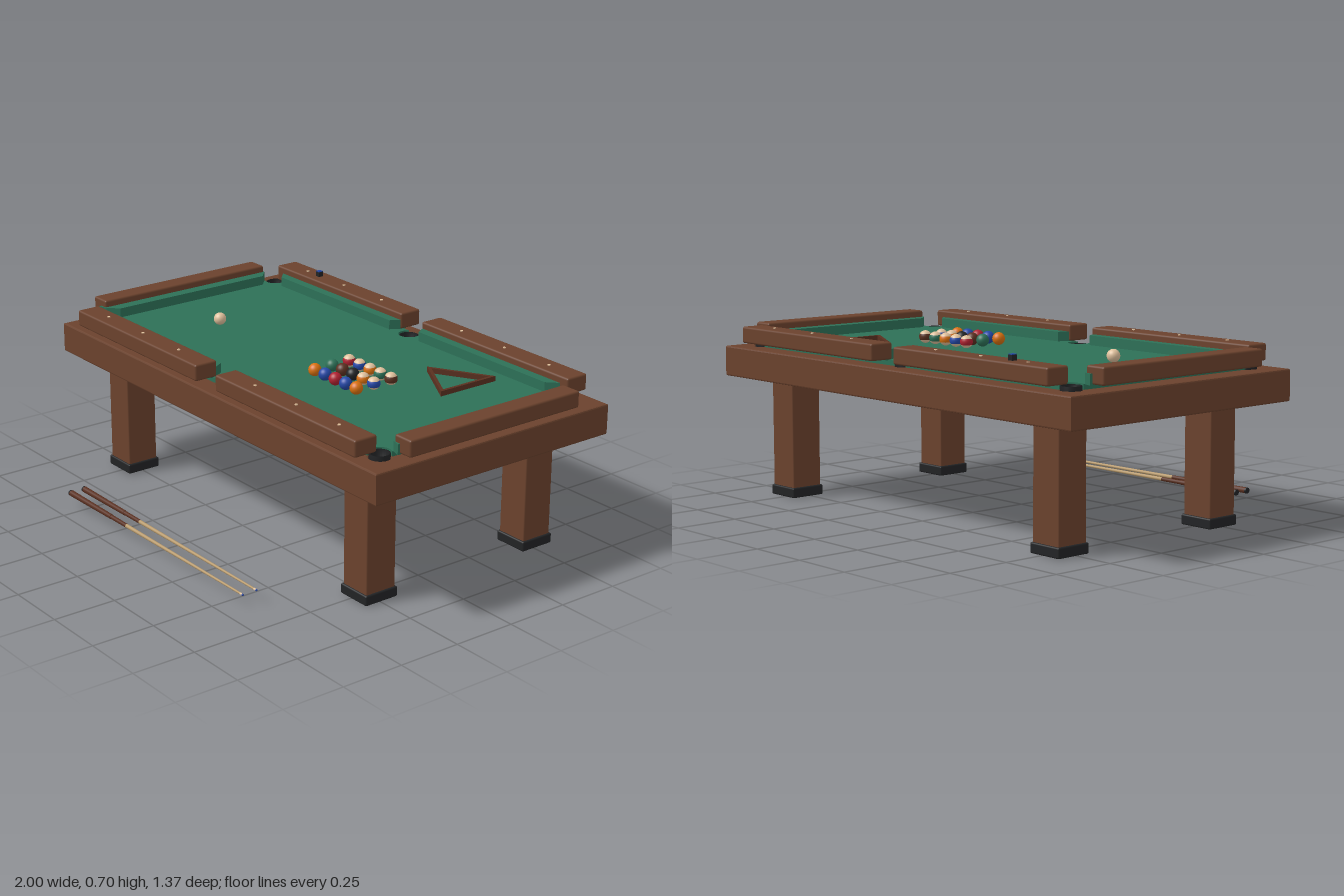
import * as THREE from 'three';
import { RoundedBoxGeometry } from 'three/addons/geometries/RoundedBoxGeometry.js';

const mat = (name, color) => {
  const m = new THREE.MeshStandardMaterial({ color });
  m.name = name;
  return m;
};

export function createModel() {
  const wood = mat('wood', 0x6b422d);
  const darkWood = mat('dark wood', 0x5a3020);
  const felt = mat('felt green', 0x2d7057);
  const black = mat('black', 0x222325);
  const cream = mat('cream', 0xdfc09c);
  const maple = mat('maple', 0xb89a6c);
  const orange = mat('orange', 0xd8700f);
  const blue = mat('blue', 0x2448a8);
  const red = mat('red', 0xb02030);

  const model = new THREE.Group();
  model.name = 'poolTable';
  const table = new THREE.Group();
  table.name = 'table';
  table.position.z = -0.135;
  model.add(table);

  const add = (parent, name, geo, material, x = 0, y = 0, z = 0) => {
    const mesh = new THREE.Mesh(geo, material);
    mesh.name = name;
    mesh.position.set(x, y, z);
    parent.add(mesh);
    return mesh;
  };
  const box = (name, w, h, d, material, x, y, z, r = 0.008) =>
    add(table, name, new RoundedBoxGeometry(w, h, d, 2, r), material, x, y, z);

  // Extrude a plan outline of [x, z] points upwards
  const outline = (pts) => new THREE.Shape(pts.map(([x, z]) => new THREE.Vector2(x, -z)));
  const slab = (shape, height, bevel = 0) => {
    const geo = new THREE.ExtrudeGeometry(shape, {
      depth: height - 2 * bevel, bevelEnabled: bevel > 0, bevelSize: bevel,
      bevelThickness: bevel, bevelOffset: -bevel, bevelSegments: 2, curveSegments: 24,
    });
    return geo.rotateX(-Math.PI / 2).translate(0, bevel, 0);
  };
  const rect = (hx, hz) => outline([[-hx, hz], [hx, hz], [hx, -hz], [-hx, -hz]]);

  // Body with six pocket holes
  const pockets = [];
  for (const x of [-0.885, 0, 0.885]) for (const z of [-0.44, 0.44]) pockets.push([x, z]);
  const bodyShape = rect(1, 0.55);
  for (const [x, z] of pockets) {
    bodyShape.holes.push(new THREE.Path().absarc(x, -z, 0.039, 0, Math.PI * 2, true));
  }
  add(table, 'body', slab(bodyShape, 0.12, 0.006), wood, 0, 0.47, 0);

  // Playing surface, notched around each pocket
  const hx = 0.91, hz = 0.467, r = 0.042;
  const bed = new THREE.Shape();
  const a = Math.asin((hz - 0.44) / r);
  const c = Math.asin((hx - 0.885) / r);
  const P = Math.PI;
  bed.absarc(0, -0.44, r, P + a, -a, true);
  bed.absarc(0.885, -0.44, r, P + a, P / 2 - c, true);
  bed.absarc(0.885, 0.44, r, 1.5 * P + c, P - a, true);
  bed.absarc(0, 0.44, r, a, P - a, true);
  bed.absarc(-0.885, 0.44, r, a, -P / 2 - c, true);
  bed.absarc(-0.885, -0.44, r, P / 2 + c, -a, true);
  add(table, 'playingSurface', slab(bed, 0.02), felt, 0, 0.59, 0);

  // Pocket cups
  const cup = new THREE.LatheGeometry([
    [0, 0], [0.038, 0], [0.038, 0.09], [0.034, 0.09], [0.034, 0.008], [0, 0.008],
  ].map(([x, y]) => new THREE.Vector2(x, y)), 28);
  for (const [x, z] of pockets) add(table, 'pocket', cup, black, x, 0.515, z);

  // Rails, cushions, sights, legs and feet, mirrored
  for (const s of [-1, 1]) {
    box('endRail', 0.085, 0.065, 0.8, wood, s * 0.9575, 0.6425, 0);
    add(table, 'endCushion', slab(outline([
      [s * 0.945, 0.41], [s * 0.91, 0.4], [s * 0.868, 0.36],
      [s * 0.868, -0.36], [s * 0.91, -0.4], [s * 0.945, -0.41],
    ]), 0.04), felt, 0, 0.608, 0);

    for (const t of [-1, 1]) {
      box('longRail', 0.823, 0.065, 0.098, wood, s * 0.4735, 0.6425, t * 0.501);
      add(table, 'longCushion', slab(outline([
        [s * 0.86, t * 0.48], [s * 0.845, t * 0.452], [s * 0.805, t * 0.413],
        [s * 0.09, t * 0.413], [s * 0.068, t * 0.452], [s * 0.066, t * 0.48],
      ]), 0.04), felt, 0, 0.608, 0);
      for (const x of [0.245, 0.49, 0.735]) {
        add(table, 'sight', new THREE.CylinderGeometry(0.006, 0.006, 0.004, 12),
          cream, s * x, 0.676, t * 0.5);
      }
      box('leg', 0.132, 0.45, 0.132, wood, s * 0.765, 0.25, t * 0.38, 0.005);
      box('foot', 0.146, 0.04, 0.146, black, s * 0.765, 0.02, t * 0.38, 0.006);
    }
  }

  // Chalk cube with coloured top
  add(table, 'chalk', new THREE.BoxGeometry(0.022, 0.02, 0.022), black, -0.655, 0.685, -0.5);
  add(table, 'chalkTop', new THREE.BoxGeometry(0.02, 0.003, 0.02), blue, -0.655, 0.6965, -0.5);

  // Triangle rack
  const tri = (k) => [[-0.157, 0], [0.078, 0.135], [0.078, -0.135]].map(([x, z]) => [x * k, z * k]);
  const rackShape = outline(tri(1));
  rackShape.holes.push(new THREE.Path(tri(0.84).map(([x, z]) => new THREE.Vector2(x, -z))));
  add(table, 'rack', slab(rackShape, 0.02), darkWood, 0.532, 0.61, -0.212);

  // Balls: solid, or cream with a coloured band
  const R = 0.025;
  const ball = (name, material, x, z, striped) => {
    const g = new THREE.Group();
    g.name = name;
    g.position.set(x, 0.61 + R, z + 0.135);
    table.add(g);
    if (!striped) {
      add(g, 'ballSurface', new THREE.SphereGeometry(R, 24, 16), material);
      return;
    }
    const cap = P * 0.34;
    const zone = (n, start, len, m) =>
      add(g, n, new THREE.SphereGeometry(R, 24, 8, 0, 2 * P, start, len), m);
    zone('topCap', 0, cap, cream);
    zone('stripe', cap, P - 2 * cap, material);
    zone('bottomCap', P - cap, cap, cream);
  };
  const colours = [orange, blue, red, blue, orange, felt, darkWood, black];
  for (let i = 0; i < 15; i++) {
    const striped = i > 7;
    ball(striped ? 'stripedBall' : 'solidBall', colours[i % 8],
      0.155 + (i % 5) * 0.062, 0.02 - Math.floor(i / 5) * 0.083, striped);
  }
  ball('cueBall', cream, -0.55, -0.045, false);

  // Two cues lying along x: [start, end, start radius, end radius, material, name]
  const cueParts = [
    [-0.577, -0.57, 0.0115, 0.012, black, 'bumper'],
    [-0.57, -0.28, 0.012, 0.0095, darkWood, 'grip'],
    [-0.28, -0.175, 0.0085, 0.008, darkWood, 'forearm'],
    [-0.175, 0.56, 0.0075, 0.004, maple, 'shaft'],
    [0.56, 0.572, 0.0042, 0.004, cream, 'ferrule'],
    [0.572, 0.577, 0.004, 0.0035, blue, 'tip'],
  ];
  for (const z of [0.607, 0.668]) {
    const cue = new THREE.Group();
    cue.name = 'cue';
    cue.position.set(0, 0.05, z);
    model.add(cue);
    for (const [x0, x1, r0, r1, m, name] of cueParts) {
      const geo = new THREE.CylinderGeometry(r1, r0, x1 - x0, 16).rotateZ(-P / 2);
      add(cue, name, geo, m, (x0 + x1) / 2);
    }
  }
  return model;
}
